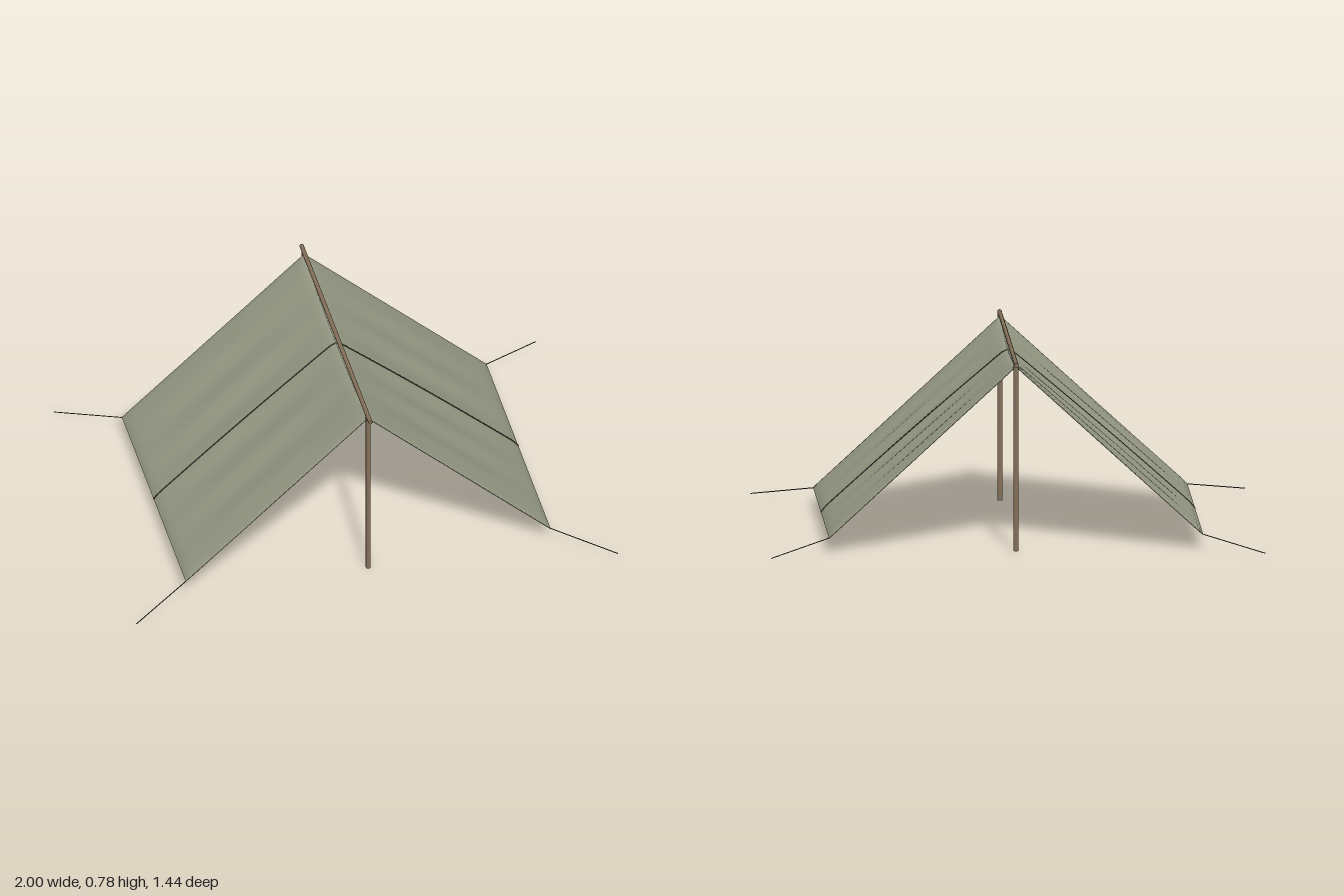
import * as THREE from 'three';
import { mergeVertices } from 'three/addons/utils/BufferGeometryUtils.js';

const HALF_W = 0.755, HALF_L = 0.555, RIDGE_Y = 0.756, HEM_Y = 0.06;

const mat = (name, color) => {
  const m = new THREE.MeshStandardMaterial({ color });
  m.name = name;
  return m;
};

// Height of the cloth: s runs ridge to hem, w runs -1 to 1 along the ridge
function clothHeight(s, w) {
  const sag = 0.035 * (1 - w * w) * (1 - s);
  const ripple = 0.007 * Math.sin(Math.PI * s) * Math.cos(w * 16) * (1 - w ** 4);
  // Hems roll down softly at all four edges
  const roll = 0.008 * (1 - Math.max(w ** 24, (2 * s - 1) ** 40));
  return RIDGE_Y + (HEM_Y - RIDGE_Y) * s - sag + ripple + roll;
}

// Thin slab bent over the slope, with soft shading rolling round its edges
function slopeGeometry(length, thickness, lift, segS, segZ) {
  let g = new THREE.BoxGeometry(1, thickness, length, segS, 1, segZ);
  g.deleteAttribute('normal');
  g.deleteAttribute('uv');
  g = mergeVertices(g);
  const p = g.attributes.position;
  for (let i = 0; i < p.count; i++) {
    const s = p.getX(i) + 0.5, off = p.getY(i) + lift, z = p.getZ(i);
    p.setXYZ(i, HALF_W * s + off * 0.68, clothHeight(s, z / HALF_L) + off * 0.73, z);
  }
  g.computeVertexNormals();
  return g;
}

function rod(name, a, b, radius, sides, material) {
  const from = new THREE.Vector3(...a), to = new THREE.Vector3(...b);
  const dir = to.clone().sub(from);
  const mesh = new THREE.Mesh(new THREE.CylinderGeometry(radius, radius, dir.length(), sides), material);
  mesh.position.copy(from).add(to).multiplyScalar(0.5);
  mesh.quaternion.setFromUnitVectors(new THREE.Vector3(0, 1, 0), dir.normalize());
  mesh.name = name;
  return mesh;
}

export function createModel() {
  const model = new THREE.Group();
  model.name = 'ridgeTent';
  const canvas = mat('olive canvas', 0x969984);
  const wood = mat('brown wood', 0x837059);
  const dark = mat('dark seam', 0x43443a);
  const cord = mat('cord', 0x4a483e);

  // Two matching cloth slopes, each with a centre seam on the outside
  const cloth = slopeGeometry(HALF_L * 2, 0.005, 0, 40, 48);
  const seam = slopeGeometry(0.005, 0.003, 0.0035, 40, 1);
  for (const side of [1, -1]) {
    const slope = new THREE.Group();
    slope.name = side > 0 ? 'leftSlope' : 'rightSlope';
    const sheet = new THREE.Mesh(cloth, canvas);
    sheet.name = 'canvasSheet';
    const strip = new THREE.Mesh(seam, dark);
    strip.name = 'centreSeam';
    slope.add(sheet, strip);
    if (side < 0) slope.rotation.y = Math.PI;
    model.add(slope);
  }

  // Ridge pole and uprights
  model.add(rod('ridgePole', [0, 0.768, -0.6], [0, 0.768, 0.6], 0.009, 10, wood));
  for (const end of [1, -1]) {
    model.add(rod(end > 0 ? 'frontPole' : 'backPole', [0, 0, end * 0.56], [0, 0.766, end * 0.56], 0.01, 10, wood));
    // Guy ropes from the hem corners to the ground
    for (const side of [1, -1]) {
      model.add(rod('guyRope', [side * HALF_W, HEM_Y, end * HALF_L], [side * 0.999, 0.009, end * 0.718], 0.002, 6, cord));
    }
  }
  return model;
}
